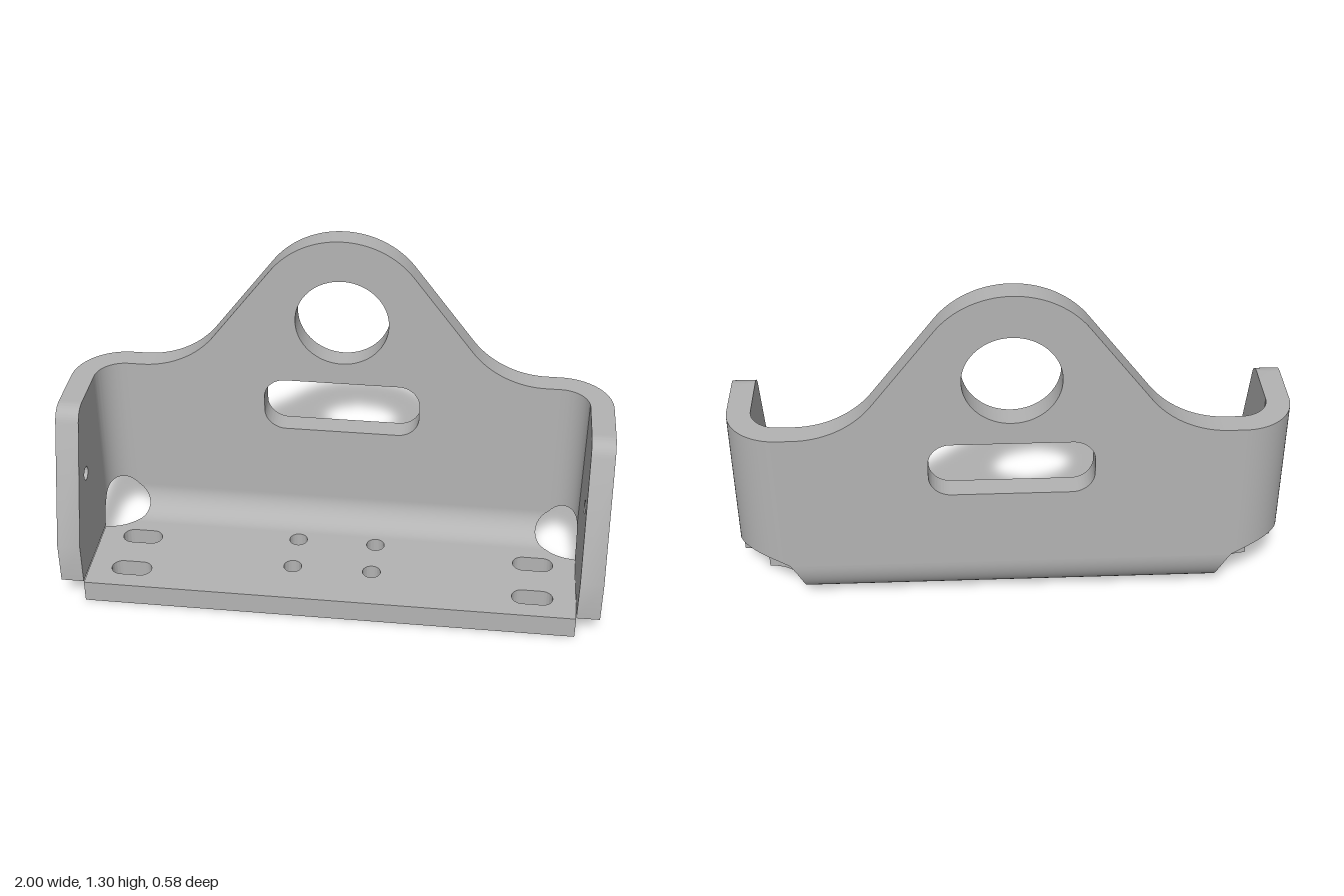
import * as THREE from 'three';
import { toCreasedNormals } from 'three/addons/utils/BufferGeometryUtils.js';

const T = 0.085;                    // sheet thickness
const RI = 0.105, RO = RI + T;      // bend radii
const BX = 0.81, BY = 0.19, BZ = -0.102; // bend axes
const TOP = 0.75, INX = 0.915, HZ = 0.292;
const PI = Math.PI;

// Rounded rectangle path; a slot or a circle when r equals the half size
function opening(cx, cy, hx, hy, r) {
  const p = new THREE.Path();
  const x = hx - r, y = hy - r;
  [[x, y], [-x, y], [-x, -y], [x, -y]].forEach(([dx, dy], i) =>
    p.absarc(cx + dx, cy + dy, r, i * PI / 2, (i + 1) * PI / 2, false));
  return p;
}

// Extrude a flat sheet, leaving it open where it joins a bend
function sheet(shape, seams) {
  const g = new THREE.ExtrudeGeometry(shape, { depth: T, bevelEnabled: false, curveSegments: 20 });
  const p = g.attributes.position, kept = [];
  for (let i = 0; i < p.count; i += 3) {
    const onSeam = seams.some(([axis, v]) => [0, 1, 2].every(
      k => Math.abs(p.getComponent(i + k, axis) - v) < 1e-4));
    if (!onSeam) for (let k = 0; k < 3; k++) kept.push(p.getX(i + k), p.getY(i + k), p.getZ(i + k));
  }
  const out = new THREE.BufferGeometry();
  out.setAttribute('position', new THREE.Float32BufferAttribute(kept, 3));
  return toCreasedNormals(out, 0.5);
}

// How far the corner relief reaches into a bend, t = 0..1 round the bend
const relief = t => Math.sqrt(0.0234 - (0.2126 * (t - 0.5)) ** 2);

// Quarter bend about the x axis, running from lo(t) to hi(t) along x
function bend(lo, hi) {
  const N = 24, pos = [];
  const ring = t => {
    const a = t * PI / 2;
    const at = (x, r) => [x, -r * Math.cos(a), -r * Math.sin(a)];
    return [at(lo(t), RI), at(hi(t), RI), at(hi(t), RO), at(lo(t), RO)];
  };
  for (let i = 0; i < N; i++) {
    const a = ring(i / N), b = ring((i + 1) / N);
    for (let k = 0; k < 4; k++) {
      const n = (k + 1) % 4;
      pos.push(...a[k], ...a[n], ...b[n], ...a[k], ...b[n], ...b[k]);
    }
  }
  const g = new THREE.BufferGeometry();
  g.setAttribute('position', new THREE.Float32BufferAttribute(pos, 3));
  return toCreasedNormals(g, 0.6);
}

function floorGeometry() {
  const s = new THREE.Shape();
  s.moveTo(-INX, -HZ);
  s.lineTo(INX, -HZ);
  s.absarc(INX, 0.207, 0.152, -PI / 2, -2.379, true);
  s.lineTo(0.805, -BZ);
  s.lineTo(-0.805, -BZ);
  s.absarc(-INX, 0.207, 0.152, -0.762, -PI / 2, true);
  for (const m of [-1, 1]) {
    for (const z of [-0.007, 0.188]) s.holes.push(opening(m * 0.755, -z, 0.076, 0.039, 0.039));
    for (const z of [-0.057, 0.108]) s.holes.push(opening(m * 0.15, -z, 0.034, 0.034, 0.034));
  }
  return sheet(s, [[1, -BZ]]).rotateX(-PI / 2);
}

function backGeometry() {
  const s = new THREE.Shape();
  const slope = 0.92;               // angle of the lug flanks
  s.moveTo(-0.805, BY);
  s.lineTo(0.805, BY);
  s.lineTo(BX, 0.195);
  s.lineTo(BX, TOP);
  s.absarc(0.757, TOP + 0.35, 0.35, -PI / 2, -PI / 2 - slope, true);
  s.absarc(0, 0.98, 0.325, PI / 2 - slope, PI / 2 + slope, false);
  s.absarc(-0.757, TOP + 0.35, 0.35, -PI / 2 + slope, -PI / 2, true);
  s.lineTo(-BX, TOP);
  s.lineTo(-BX, 0.195);
  s.holes.push(opening(0, 0.975, 0.172, 0.172, 0.172));
  s.holes.push(opening(0, 0.609, 0.293, 0.108, 0.08));
  return sheet(s, [[0, BX], [0, -BX], [1, BY]]);
}

function sideGeometry() {
  const s = new THREE.Shape();
  s.moveTo(-HZ, 0.09);
  s.lineTo(0.055, 0.09);
  s.absarc(0.207, 0.085, 0.152, PI - 0.033, 2.333, true);
  s.lineTo(-BZ, 0.195);
  s.lineTo(-BZ, TOP);
  s.lineTo(-0.075, TOP);
  s.quadraticCurveTo(-0.129, TOP, -0.145, 0.7);
  s.lineTo(-HZ, 0.25);
  s.holes.push(opening(-0.119, 0.464, 0.026, 0.026, 0.026));
  return sheet(s, [[0, -BZ]]).rotateY(PI / 2);
}

export function createModel() {
  const group = new THREE.Group();
  const steel = new THREE.MeshStandardMaterial({ color: 0xb3b3b3 });
  steel.name = 'grey steel';
  const add = (name, geometry, x = 0, y = 0, z = 0) => {
    const m = new THREE.Mesh(geometry, steel);
    m.name = name;
    m.position.set(x, y, z);
    group.add(m);
  };

  // Flat sheets
  add('floorPlate', floorGeometry());
  add('backPlate', backGeometry(), 0, 0, -HZ);
  add('leftSidePlate', sideGeometry(), INX);
  add('rightSidePlate', sideGeometry(), -1);

  // Rounded bends with corner reliefs
  add('floorBend', bend(t => relief(t) - INX, t => INX - relief(t)), 0, BY, BZ);
  add('leftBend', bend(t => 0.085 + relief(t), () => TOP).rotateZ(PI / 2), BX, 0, BZ);
  add('rightBend', bend(() => -TOP, t => -0.085 - relief(t)).rotateZ(-PI / 2), -BX, 0, BZ);
  return group;
}
